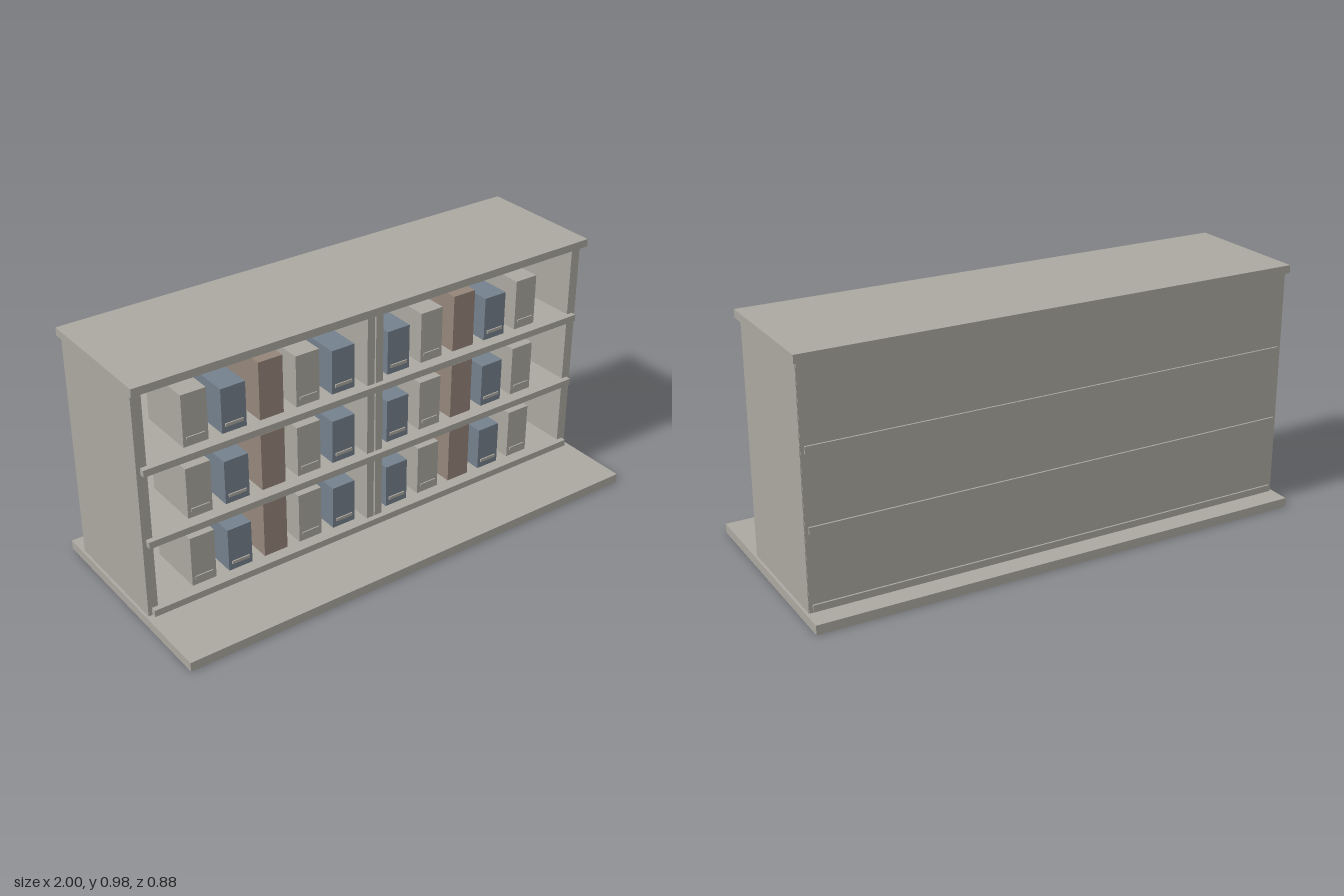
import * as THREE from 'three';

const mat = (name, color) => {
  const m = new THREE.MeshStandardMaterial({ color });
  m.name = name;
  return m;
};

export function createModel() {
  const root = new THREE.Group();
  root.name = 'displayShelf';
  const grey = mat('warmGrey', 0xaba8a0);
  const blue = mat('slateBlue', 0x74808d);
  const brown = mat('dustyBrown', 0x95857a);

  // Box given by its min and max on each axis
  const box = (name, material, [x0, x1], [y0, y1], [z0, z1], parent = root) => {
    const mesh = new THREE.Mesh(new THREE.BoxGeometry(x1 - x0, y1 - y0, z1 - z0), material);
    mesh.position.set((x0 + x1) / 2, (y0 + y1) / 2, (z0 + z1) / 2);
    mesh.name = name;
    parent.add(mesh);
    return mesh;
  };

  // Cabinet carcass
  box('basePlinth', grey, [-1, 1], [0, 0.037], [-0.44, 0.44]);
  box('topBoard', grey, [-1, 1], [0.944, 0.975], [-0.368, 0.165]);
  box('backPanel', grey, [-0.988, 0.988], [0.037, 0.944], [-0.355, -0.33]);
  for (const s of [-1, 1]) {
    const span = (a, b) => (s > 0 ? [a, b] : [-b, -a]);
    box('sidePanel', grey, span(0.95, 0.99), [0.037, 0.944], [-0.353, 0.135]);
    box('centrePartition', grey, span(0.003, 0.035), [0.037, 0.944], [-0.353, 0.135]);
  }

  // Goods on each shelf, listed from the centre outwards and mirrored
  const goods = [
    { name: 'blueCarton', material: blue, height: 0.177, label: true },
    { name: 'greyCarton', material: grey, height: 0.205, label: true },
    { name: 'brownCarton', material: brown, height: 0.23, label: false },
    { name: 'blueCarton', material: blue, height: 0.177, label: true },
    { name: 'greyCarton', material: grey, height: 0.205, label: true },
  ];
  const front = 0.11;

  for (const top of [0.068, 0.36, 0.652]) {
    box('shelf', grey, [-0.975, 0.975], [top - 0.027, top], [-0.362, 0.157]);
    for (const s of [-1, 1]) {
      goods.forEach((g, i) => {
        const x = s * (0.125 + i * 0.1545);
        const carton = new THREE.Group();
        carton.name = g.name;
        root.add(carton);
        box('cartonBody', g.material, [x - 0.05, x + 0.05], [top, top + g.height], [front - 0.24, front], carton);
        // Thin pale strip low on the face
        if (g.label) {
          box('labelStrip', grey, [x - 0.037, x + 0.037], [top + 0.026, top + 0.038], [front, front + 0.005], carton);
        }
      });
    }
  }
  return root;
}
